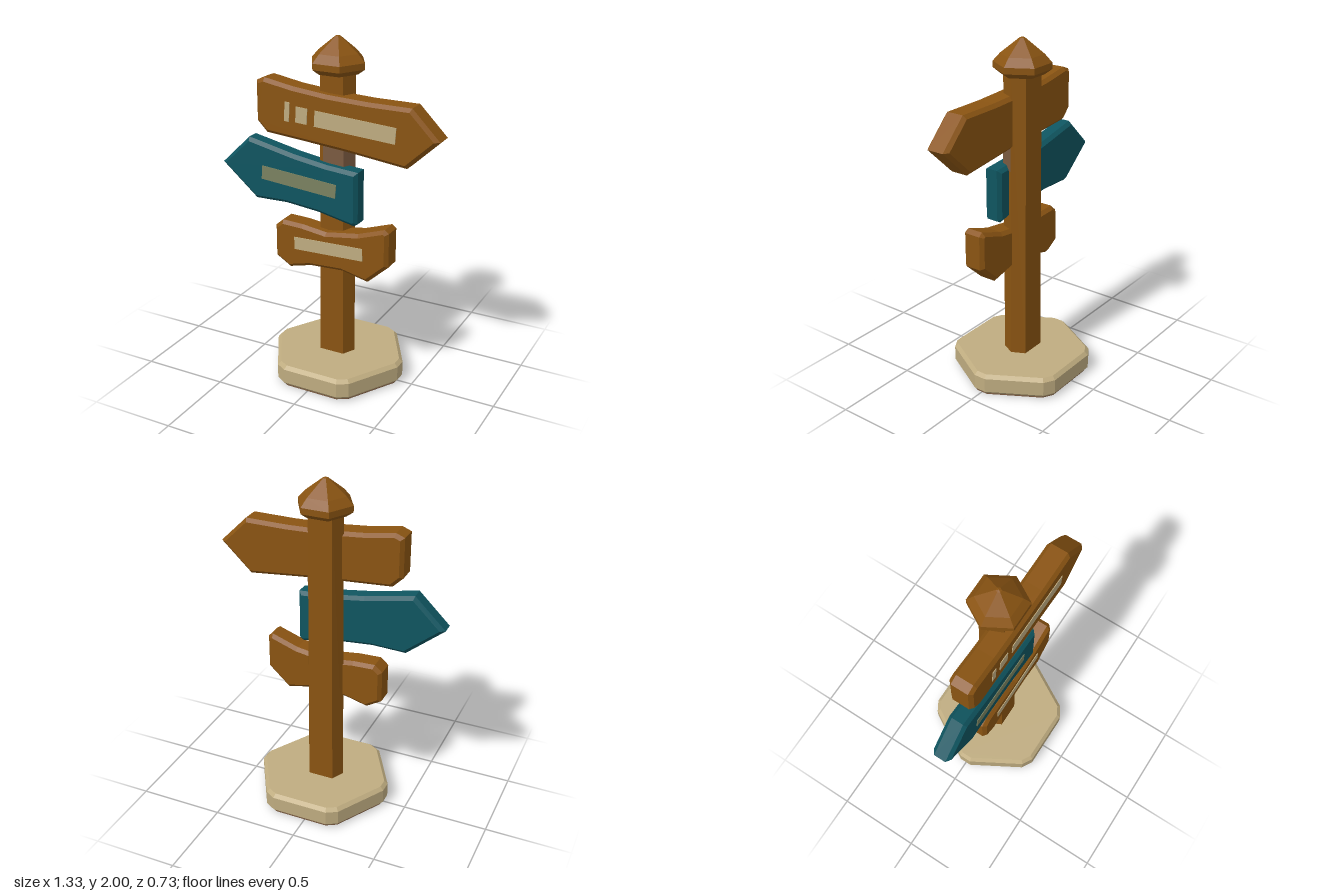
import * as THREE from 'three';

const mat = (name, color) => {
  const m = new THREE.MeshStandardMaterial({ color });
  m.name = name;
  return m;
};

const toShape = (pts) => new THREE.Shape(pts.map(([x, y]) => new THREE.Vector2(x, y)));

// Flat outline with chamfered edges, filling z0 to z1
function slab(pts, z0, z1, bevel) {
  const geo = new THREE.ExtrudeGeometry(toShape(pts), {
    depth: z1 - z0 - 2 * bevel, bevelEnabled: bevel > 0, bevelSize: bevel,
    bevelThickness: bevel, bevelOffset: -bevel, bevelSegments: 1,
  });
  return geo.translate(0, 0, z0 + bevel);
}

// Outline in x and -z, standing between y0 and y1
const prism = (pts, y0, y1, bevel) => slab(pts, y0, y1, bevel).rotateX(-Math.PI / 2);

// Hexagon with cut corners, points along x
function cutHexagon(radius, cut) {
  const pts = [];
  for (let i = 0; i < 6; i++) {
    const corner = (k) => [radius * Math.cos(k * Math.PI / 3), radius * Math.sin(k * Math.PI / 3)];
    const [a, b, c] = [corner(i - 1), corner(i), corner(i + 1)];
    for (const o of [a, c]) pts.push([b[0] + (o[0] - b[0]) * cut, b[1] + (o[1] - b[1]) * cut]);
  }
  return pts;
}

export function createModel() {
  const wood = mat('wood', 0x8a5412);
  const stone = mat('pale stone', 0xbfac80);
  const teal = mat('teal paint', 0x0f5560);
  const olive = mat('olive stripe', 0x7a8260);
  const dull = mat('dull brown', 0x7a5a40);

  const model = new THREE.Group();
  model.name = 'signpost';
  const add = (name, geo, material, x = 0, y = 0, z = 0, parent = model) => {
    const mesh = new THREE.Mesh(geo, material);
    mesh.name = name;
    mesh.position.set(x, y, z);
    parent.add(mesh);
    return mesh;
  };

  // Base with a darker underside
  add('base', prism(cutHexagon(0.42, 0.1), 0.005, 0.13, 0.02), stone, 0.025);
  add('baseUnderside', prism(cutHexagon(0.4, 0.1), 0, 0.006, 0), dull, 0.025);

  // Six-sided post, tapering slightly upward
  const post = prism([[0.113, 0], [0.075, 0.076], [-0.075, 0.076],
    [-0.113, 0], [-0.075, -0.076], [0.075, -0.076]], 0.1, 1.84, 0);
  const p = post.attributes.position;
  for (let i = 0; i < p.count; i++) if (p.getY(i) > 1) p.setX(i, p.getX(i) * 0.92);
  post.computeVertexNormals();
  add('post', post, wood, 0.015);
  add('postPatch', prism([[0, 0], [-0.05, -0.079], [0.075, -0.079], [0.109, 0]], 1.27, 1.44, 0),
    dull, 0.015);

  // Faceted pointed cap
  const capProfile = [[0, 1.8], [0.12, 1.8], [0.16, 1.83], [0.16, 1.865], [0.12, 1.91], [0.015, 1.995], [0, 2]]
    .map(([r, y]) => new THREE.Vector2(r, y));
  const cap = new THREE.LatheGeometry(capProfile, 6, Math.PI / 6).toNonIndexed();
  cap.computeVertexNormals();
  add('cap', cap, wood, 0.015);

  // Boards with plain painted stripes: [x, y, width, height, tilt]
  const boards = [
    {
      name: 'topBoard', material: wood, paint: stone, z0: -0.01, z1: 0.13,
      pts: [[-0.43, 1.5], [-0.37, 1.44], [-0.12, 1.42], [0.12, 1.4], [0.48, 1.36], [0.66, 1.53],
        [0.5, 1.69], [0.25, 1.69], [0, 1.7], [-0.2, 1.72], [-0.38, 1.75], [-0.43, 1.73]],
      stripes: [[0.18, 1.55, 0.48, 0.09, -0.06], [-0.14, 1.57, 0.07, 0.09, -0.06],
        [-0.23, 1.58, 0.03, 0.11, -0.06]],
    },
    {
      name: 'middleBoard', material: teal, paint: olive, z0: 0.02, z1: 0.13,
      pts: [[-0.67, 1.22], [-0.45, 1.035], [-0.25, 1.04], [-0.05, 1.02], [0.17, 0.975], [0.195, 0.99],
        [0.195, 1.29], [0, 1.305], [-0.2, 1.335], [-0.49, 1.395]],
      stripes: [[-0.165, 1.185, 0.47, 0.08, -0.08]],
    },
    {
      name: 'bottomBoard', material: wood, paint: stone, z0: -0.005, z1: 0.13,
      pts: [[-0.325, 0.7], [-0.235, 0.645], [-0.1, 0.68], [0.1, 0.69], [0.26, 0.655], [0.385, 0.77],
        [0.385, 0.97], [0.36, 0.99], [0.2, 0.935], [0, 0.905], [-0.15, 0.925], [-0.28, 0.93], [-0.325, 0.89]],
      stripes: [[0.02, 0.815, 0.43, 0.075, 0.03]],
    },
  ];
  for (const b of boards) {
    const group = new THREE.Group();
    group.name = b.name;
    model.add(group);
    add(b.name + 'Plank', slab(b.pts, b.z0, b.z1, 0.02), b.material, 0, 0, 0, group);
    for (const [x, y, w, h, tilt] of b.stripes) {
      add(b.name + 'Stripe', new THREE.BoxGeometry(w, h, 0.006), b.paint, x, y, b.z1 + 0.001, group)
        .rotation.z = tilt;
    }
  }
  return model;
}
